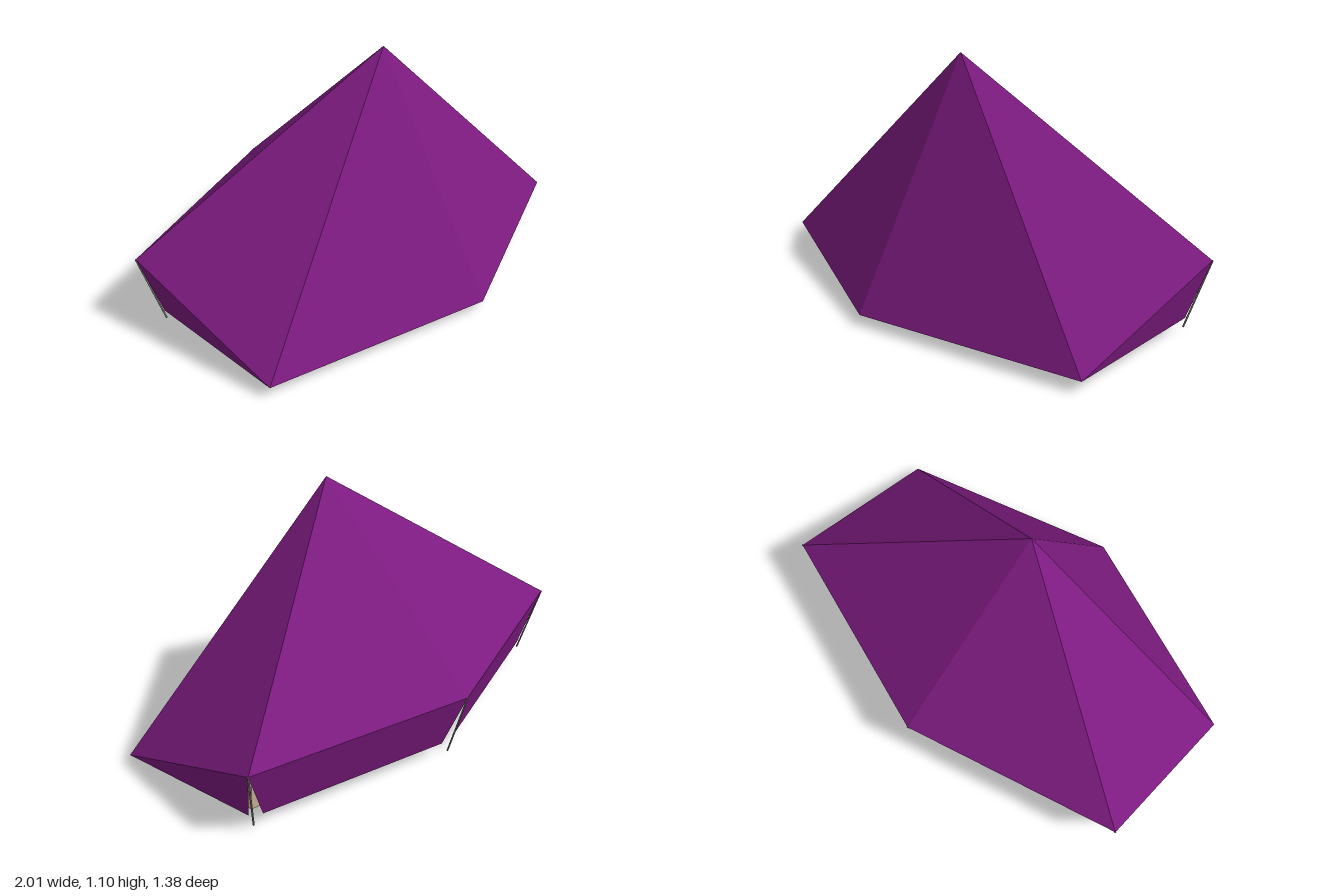
import * as THREE from 'three';

const V = (x, y, z) => new THREE.Vector3(x, y, z);
const fabric = (color) => new THREE.MeshStandardMaterial({ color, flatShading: true, side: THREE.DoubleSide });
const purple = fabric(0x7d1b80);
const tan = fabric(0xe4c6ab);
const grey = new THREE.MeshStandardMaterial({ color: 0x777777 });
const CENTRE = V(0, 0.2, 0);

// Flat panels from corner loops, each wound to face away from the tent centre
function panels(name, loops, material) {
  const pos = [];
  for (const loop of loops) {
    for (let i = 1; i < loop.length - 1; i++) {
      const tri = [loop[0], loop[i], loop[i + 1]];
      const normal = tri[1].clone().sub(tri[0]).cross(tri[2].clone().sub(tri[0]));
      if (normal.dot(tri[0].clone().sub(CENTRE)) < 0) tri.reverse();
      tri.forEach((p) => pos.push(p.x, p.y, p.z));
    }
  }
  const geometry = new THREE.BufferGeometry();
  geometry.setAttribute('position', new THREE.Float32BufferAttribute(pos, 3));
  geometry.computeVertexNormals();
  const mesh = new THREE.Mesh(geometry, material);
  mesh.name = name;
  return mesh;
}

// Thin round pole between two points
function pole(name, a, b, radius) {
  const dir = b.clone().sub(a);
  const mesh = new THREE.Mesh(new THREE.CylinderGeometry(radius, radius, dir.length(), 8), grey);
  mesh.position.copy(a).add(b).multiplyScalar(0.5);
  mesh.quaternion.setFromUnitVectors(V(0, 1, 0), dir.normalize());
  mesh.name = name;
  return mesh;
}

export function createModel() {
  const tent = new THREE.Group();
  tent.name = 'tent';

  const apex = V(0, 1.105, 0.12);
  const frontTip = V(0, 0.047, 0.688);
  const backTip = V(0, 0.32, -0.688);
  const innerApex = V(0, 0.95, 0.09);
  const tubTip = V(0, 0.012, -0.475);
  const wallTip = V(0, 0.23, -0.535);
  const floor = [tubTip];
  const room = [];

  for (const s of [1, -1]) {
    const side = s > 0 ? 'left' : 'right';
    const frontCorner = V(s, 0.055, 0.355);
    const backCorner = V(s, 0.33, -0.4);

    // Canopy: front, side and back roof panels
    tent.add(panels(side + 'Roof', [
      [apex, frontTip, frontCorner],
      [apex, frontCorner, backCorner],
      [apex, backCorner, backTip],
    ], purple));

    // Hanging flaps, split at the corners
    tent.add(panels(side + 'SideFlap', [[frontCorner, backCorner, V(s * 0.94, 0.065, -0.322)]], purple));
    tent.add(panels(side + 'BackFlap', [
      [backCorner, backTip, V(s * 0.04, 0.06, -0.595), V(s * 0.89, 0.062, -0.353)],
    ], purple));

    // Corner pole
    tent.add(pole(side + 'CornerPole', backCorner, V(s * 0.925, 0.013, -0.333), 0.004));

    // Inner room: half of the walls and ceiling
    const baseFront = V(s * 0.87, 0.033, 0.235);
    const baseBack = V(s * 0.87, 0.018, -0.26);
    const topFront = V(s * 0.87, 0.1, 0.23);
    const topBack = V(s * 0.9, 0.24, -0.31);
    const frontFoot = V(0, 0.033, 0.235);
    room.push(
      [baseFront, baseBack, topBack, topFront],
      [baseBack, tubTip, wallTip, topBack],
      [topFront, topBack, innerApex],
      [topBack, wallTip, innerApex],
      [frontFoot, baseFront, topFront, innerApex],
    );
    if (s > 0) floor.push(baseBack, baseFront);
    else floor.push(baseFront, baseBack);
  }

  tent.add(panels('innerRoom', room, tan));
  tent.add(panels('groundsheet', [floor], tan));

  // Main front pole and rear pole
  tent.add(pole('mainPole', V(0, 1.09, 0.121), V(0, 0.02, 0.251), 0.006));
  tent.add(pole('rearPole', backTip, V(0, 0.002, -0.598), 0.004));

  return tent;
}
